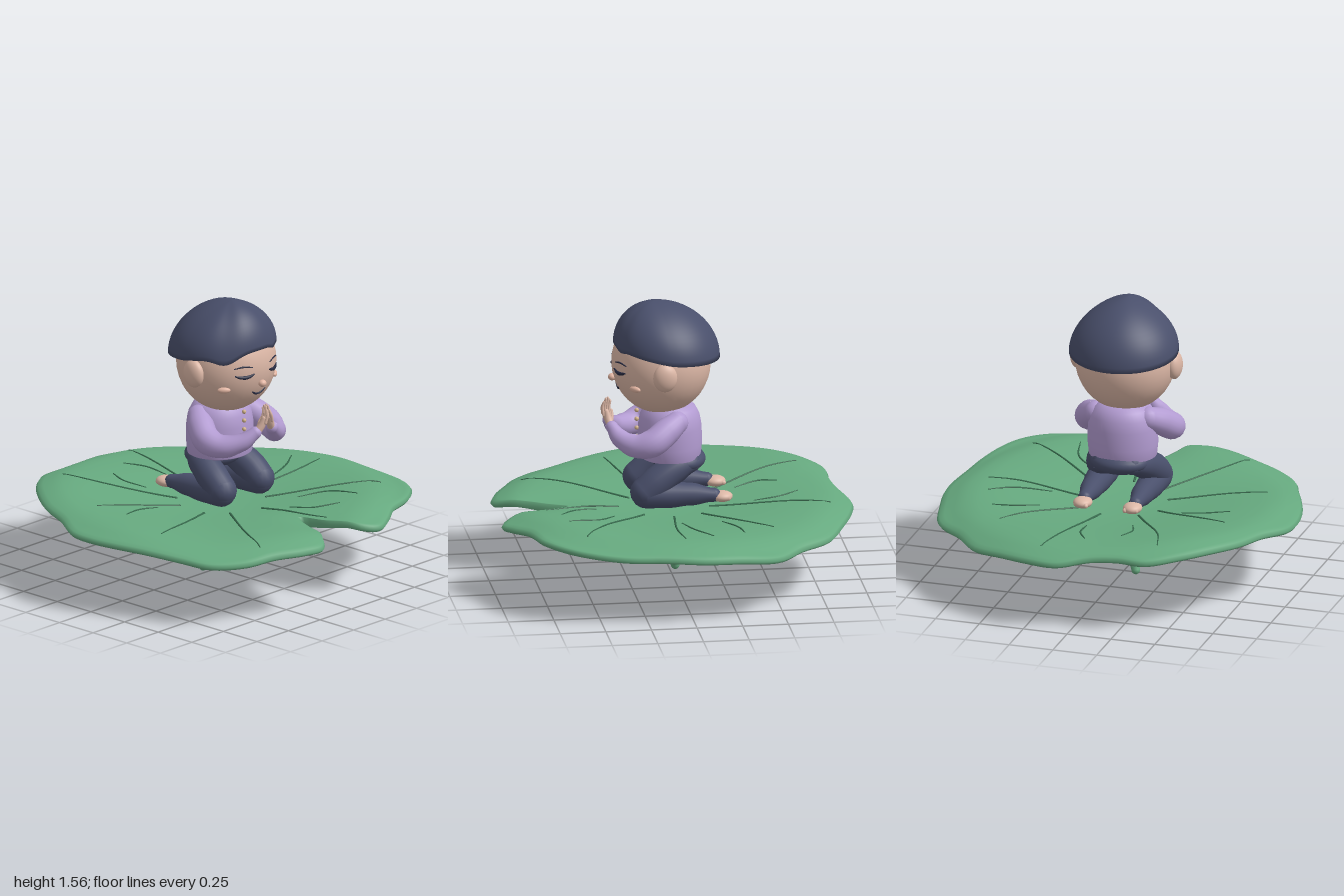
import * as THREE from 'three';
import { mergeGeometries } from 'three/addons/utils/BufferGeometryUtils.js';

const V = (x, y, z) => new THREE.Vector3(x, y, z);
const paint = (name, color) => Object.assign(new THREE.MeshStandardMaterial({ color }), { name });
const sstep = THREE.MathUtils.smoothstep;
const CX = 0.01; // the figure sits a touch off the leaf's centre

// Tapered, round-ended tube through points, with a radius at each point
function limb(pts, radii, steps = 24, sides = 14) {
  const curve = new THREE.CatmullRomCurve3(pts.map(p => V(...p)));
  const tube = new THREE.TubeGeometry(curve, steps, 1, sides);
  const pos = tube.attributes.position, v = V();
  for (let i = 0; i <= steps; i++) {
    const u = i / steps, c = curve.getPointAt(u), k = u * (radii.length - 1);
    const a = Math.min(Math.floor(k), radii.length - 2);
    const r = THREE.MathUtils.lerp(radii[a], radii[a + 1], sstep(k - a, 0, 1));
    for (let j = 0; j <= sides; j++) {
      const n = i * (sides + 1) + j;
      v.fromBufferAttribute(pos, n).sub(c).multiplyScalar(r).add(c);
      pos.setXYZ(n, v.x, v.y, v.z);
    }
  }
  const caps = [0, pts.length - 1].map(i =>
    new THREE.SphereGeometry(i ? radii[radii.length - 1] : radii[0], sides, 8).translate(...pts[i]));
  return mergeGeometries([tube, ...caps]);
}

// Closed-loop surface: rows run outward from a centre, columns go round
function loopSurface(rows, cols, at) {
  const p = [], idx = [];
  for (let r = 0; r < rows; r++) for (let c = 0; c < cols; c++) p.push(...at(r, c / cols));
  for (let r = 0; r < rows - 1; r++) for (let c = 0; c < cols; c++) {
    const e = (c + 1) % cols, a = r * cols + c, b = a + cols, d = (r + 1) * cols + e;
    idx.push(a, b, d, a, d, r * cols + e);
  }
  const g = new THREE.BufferGeometry();
  g.setAttribute('position', new THREE.Float32BufferAttribute(p, 3));
  g.setIndex(idx);
  g.computeVertexNormals();
  return g;
}

const ball = (x, y, z, rx, ry, rz) =>
  new THREE.SphereGeometry(1, 32, 20).scale(rx, ry, rz).translate(x, y, z);

// Leaf top: shallow dish, rolled rim, slight saddle, gentle waves, lips dipping into the notch
function leafTop(x, z) {
  const r = Math.hypot(x, z), t = Math.atan2(x, z);
  return 0.39 + 0.055 * sstep(r, 0.1, 0.78) - 0.05 * sstep(r, 0.83, 1.02)
    - 0.007 * sstep(r, 0.4, 1) * Math.sin(6 * t + 0.6) - 0.016 * x * r + 0.07 * x * z
    - 0.03 * Math.exp(-(((x - 0.03) / 0.14) ** 2)) * sstep(z, 0.4, 0.75);
}

const OUTLINE = [[.04, .59], [.1, .75], [.18, .91], [.27, .97], [.37, .93], [.5, .85], [.68, .79], [.82, .68],
  [.9, .54], [.95, .37], [.97, .2], [1, -.05], [.97, -.25], [.91, -.46], [.75, -.62], [.6, -.79], [.43, -.88],
  [.25, -.95], [.08, -.98], [-.1, -.92], [-.25, -.9], [-.42, -.9], [-.58, -.8], [-.7, -.68], [-.82, -.51],
  [-.9, -.32], [-.99, -.15], [-1, -.02], [-.97, .15], [-.9, .35], [-.83, .52], [-.76, .68], [-.62, .8],
  [-.47, .86], [-.3, .94], [-.18, .96], [-.1, .88], [-.04, .73]];

// Long veins reach the middle of the leaf, short ones lie between them
const LONG_VEINS = [
  [[-.43, -.74], [-.37, -.55], [-.14, -.17]], [[.2, -.84], [.15, -.6], [.07, -.2]],
  [[.55, -.48], [.45, -.36], [.2, -.14]], [[.78, .03], [.6, .05], [.25, .02]],
  [[.7, .56], [.5, .42], [.2, .18]], [[.12, .7], [.08, .55], [.04, .3]],
  [[-.47, .76], [-.38, .57], [-.13, .22]], [[-.73, .27], [-.5, .21], [-.22, .11]],
  [[-.66, -.27], [-.5, -.2], [-.22, -.07]]];
const SHORT_VEINS = [[[-.18, -.6], [-.21, -.5], [-.17, -.37]],
  [[0, -.69], [.06, -.58], [.07, -.44]], [[.65, -.31], [.55, -.29], [.41, -.22]],
  [[.73, -.13], [.6, -.05], [.41, 0]], [[-.63, -.08], [-.5, -.11], [-.36, -.1]],
  [[.12, .43], [.17, .55], [.29, .64]], [[.27, .35], [.4, .45], [.45, .62]]];

// Point on the front of the head, optionally raised
const onFace = (x, y, lift = 0) =>
  [CX + x, y, 0.06 + lift + 0.27 * Math.sqrt(1 - (x / 0.275) ** 2 - ((y - 1.21) / 0.28) ** 2)];
// Point on the front of the shirt
const onShirt = (x, y) => [CX + x, y, 0.012 + 0.9 * Math.sqrt(0.193 ** 2 - x * x)];

export function createModel() {
  const model = new THREE.Group();
  const green = paint('leaf green', 0x66a97f), veinGreen = paint('vein green', 0x376a4d);
  const navy = paint('navy', 0x494f6b), ink = paint('dark ink', 0x272b42);
  const skin = paint('skin', 0xdcb7a6), pink = paint('cheek pink', 0xe2b5a2);
  const lilac = paint('lilac', 0xb39cd2), plum = paint('pocket plum', 0x6b5a88);
  const tan = paint('button tan', 0xd3b48c);
  const add = (name, geo, mat, parent = model) => {
    const m = new THREE.Mesh(geo, mat);
    m.name = name;
    parent.add(m);
    return m;
  };

  // Leaf: top rows out to the rim, then back along the underside
  const rim = new THREE.CatmullRomCurve3(OUTLINE.map(([x, z]) => V(x, 0, z)), true);
  const out = [0, .1, .2, .3, .4, .5, .6, .7, .78, .85, .91, .96, .988];
  const rows = [...out.map(f => [f, 0]), [1, .5], ...out.slice().reverse().map(f => [f, 1])];
  add('lilyLeaf', loopSurface(rows.length, 190, (r, u) => {
    const [f, side] = rows[r], p = rim.getPoint(u), x = p.x * f, z = p.z * f;
    const thick = 0.09 - 0.055 * sstep(Math.hypot(x, z), 0.1, 0.95);
    return [x, leafTop(x, z) - thick * side, z];
  }), green);

  // Veins lying on the leaf
  const veins = new THREE.Group();
  veins.name = 'leafVeins';
  model.add(veins);
  const addVeins = (name, list, radii) => list.forEach(v => {
    const flat = new THREE.CatmullRomCurve3(v.map(([x, z]) => V(x, 0, z))).getPoints(10);
    add(name, limb(flat.map(p => [p.x, leafTop(p.x, p.z) + 0.001, p.z]), radii, 16, 6), veinGreen, veins);
  });
  addVeins('longVein', LONG_VEINS, [.003, .005, .006, .007]);
  addVeins('shortVein', SHORT_VEINS, [.003, .005, .005, .003]);

  // Stem with a knuckle near the top
  add('stem', limb([[.03, .325, .03], [.015, .295, .025], [.005, .265, .02], [-.01, .22, .012],
    [-.04, .14, -.005], [-.06, .08, -.018], [-.077, .024, -.03]],
  [.05, .025, .043, .034, .031, .027, .024], 40), green);

  // Head, ears and hair
  add('head', ball(CX, 1.21, .06, .275, .28, .27), skin);
  for (const s of [-1, 1]) add('ear', ball(CX + s * .275, 1.2, .075, .042, .078, .066), skin);
  add('hair', loopSurface(20, 96, (r, u) => {
    const t = u * Math.PI * 2, c = Math.cos(t), front = Math.max(0, c);
    const lock = -.045 * Math.exp(-(((t - 5.55) / .28) ** 2)) - .016 * Math.exp(-(((t - .4) / .15) ** 2));
    const edge = 1.27 + .055 * front - .028 * Math.max(0, -c) + lock;
    const inner = r > 17, v = Math.min(r, 17) / 17 * Math.PI / 2;
    const k = inner ? (r === 18 ? .94 : .75) : Math.sin(v) ** (1.06 + .28 * Math.sin(t) ** 2);
    const y = inner ? edge + (r - 17) * .012 : edge + (1.56 - edge) * Math.cos(v);
    const z = inner ? .03 + .29 * c * k : THREE.MathUtils.lerp(.1, .03 + .29 * c, k);
    return [CX + .3 * Math.sin(t) * k, y, z];
  }), navy);

  // Face
  const face = new THREE.Group();
  face.name = 'face';
  model.add(face);
  for (const s of [-1, 1]) {
    add('closedEye', limb([[.06, 1.2], [.085, 1.191], [.11, 1.188], [.135, 1.191], [.16, 1.2]]
      .map(([x, y]) => onFace(s * x, y)), [.004, .009, .011, .009, .004], 16, 8), ink, face);
    add('eyebrow', limb([[.07, 1.24], [.115, 1.249], [.165, 1.242]]
      .map(([x, y]) => onFace(s * x, y)), [.003, .005, .003], 12, 8), ink, face);
    const cheek = add('cheek', ball(0, 0, 0, .036, .017, .016), pink, face);
    cheek.position.set(...onFace(s * .2, 1.12, .006));
    cheek.rotation.y = s * .75;
  }
  add('nose', ball(...onFace(0, 1.135, .008), .023, .02, .022), pink, face);
  add('mouth', limb([[-.048, 1.09], [-.025, 1.076], [0, 1.071], [.025, 1.076], [.048, 1.09]]
    .map(([x, y]) => onFace(x, y)), [.004, .006, .006, .006, .004], 16, 8), ink, face);

  // Shirt with buttons and pockets
  const profile = [[0, .675], [.175, .675], [.187, .683], [.194, .75], [.192, .85], [.18, .91], [.155, .955],
    [.11, .985], [0, 1]].map(p => new THREE.Vector2(...p));
  add('shirt', new THREE.LatheGeometry(profile, 48).scale(1, 1, .9).translate(CX, 0, .012), lilac);
  for (const y of [.74, .79, .84, .89, .94])
    add('button', ball(CX, y, .193, .011, .012, .012), tan);
  for (const s of [-1, 1]) {
    const line = (name, a, b) => add(name, limb([a, [(a[0] + b[0]) / 2, (a[1] + b[1]) / 2], b]
      .map(([x, y]) => onShirt(s * x, y)), [.0025, .0025], 6, 6), plum);
    line('pocketFlap', [.05, .785], [.125, .785]);
    line('pocketBottom', [.055, .718], [.12, .718]);
  }

  // Arms and hands pressed together
  for (const s of [-1, 1]) {
    const m = pts => pts.map(([x, y, z]) => [CX + s * x, y, z]);
    add('sleeve', limb(m([[.15, .905, -.005], [.2, .87, .06], [.234, .82, .14], [.205, .798, .22],
      [.13, .823, .3], [.065, .87, .338]]), [.064, .075, .076, .064, .05, .034], 32, 18), lilac);
    const hand = new THREE.Group();
    hand.name = 'hand';
    model.add(hand);
    add('palm', limb(m([[.055, .872, .342], [.034, .91, .354], [.02, .945, .361]]),
      [.021, .022, .015], 12, 10), skin, hand);
    for (let i = 0; i < 4; i++) {
      const z = .343 + i * .011;
      add('finger', limb(m([[.026, .925, z], [.014, .965, z + .004], [.008, [1.0, 1.015, 1.01, .99][i], z - .004]]),
        [.009, .008, .006], 10, 8), skin, hand);
    }
    add('thumb', limb(m([[.04, .895, .338], [.025, .92, .332], [.01, .945, .332]]),
      [.011, .01, .007], 10, 8), skin, hand);
  }

  // Trousers and bare feet
  add('hips', ball(CX, .66, -.035, .17, .072, .148), navy);
  for (const s of [-1, 1]) {
    const m = pts => pts.map(([x, y, z]) => [CX + s * x, y, z]);
    add('thigh', limb(m([[.085, .66, -.09], [.12, .635, 0], [.145, .575, .1], [.15, .52, .168]]),
      [.058, .08, .086, .082], 24, 20), navy);
    add('shin', limb(m([[.15, .51, .165], [.148, .5, .05], [.145, .495, -.08], [.145, .485, -.21]]),
      [.08, .074, .062, .038], 24, 20), navy);
    add('foot', ball(CX + s * .142, .475, -.255, .052, .03, .058), skin);
    for (let i = 0; i < 4; i++)
      add('toe', ball(CX + s * (.112 + i * .02), .471, -.296 + i * .004, .013, .014, .016), skin);
  }
  return model;
}
